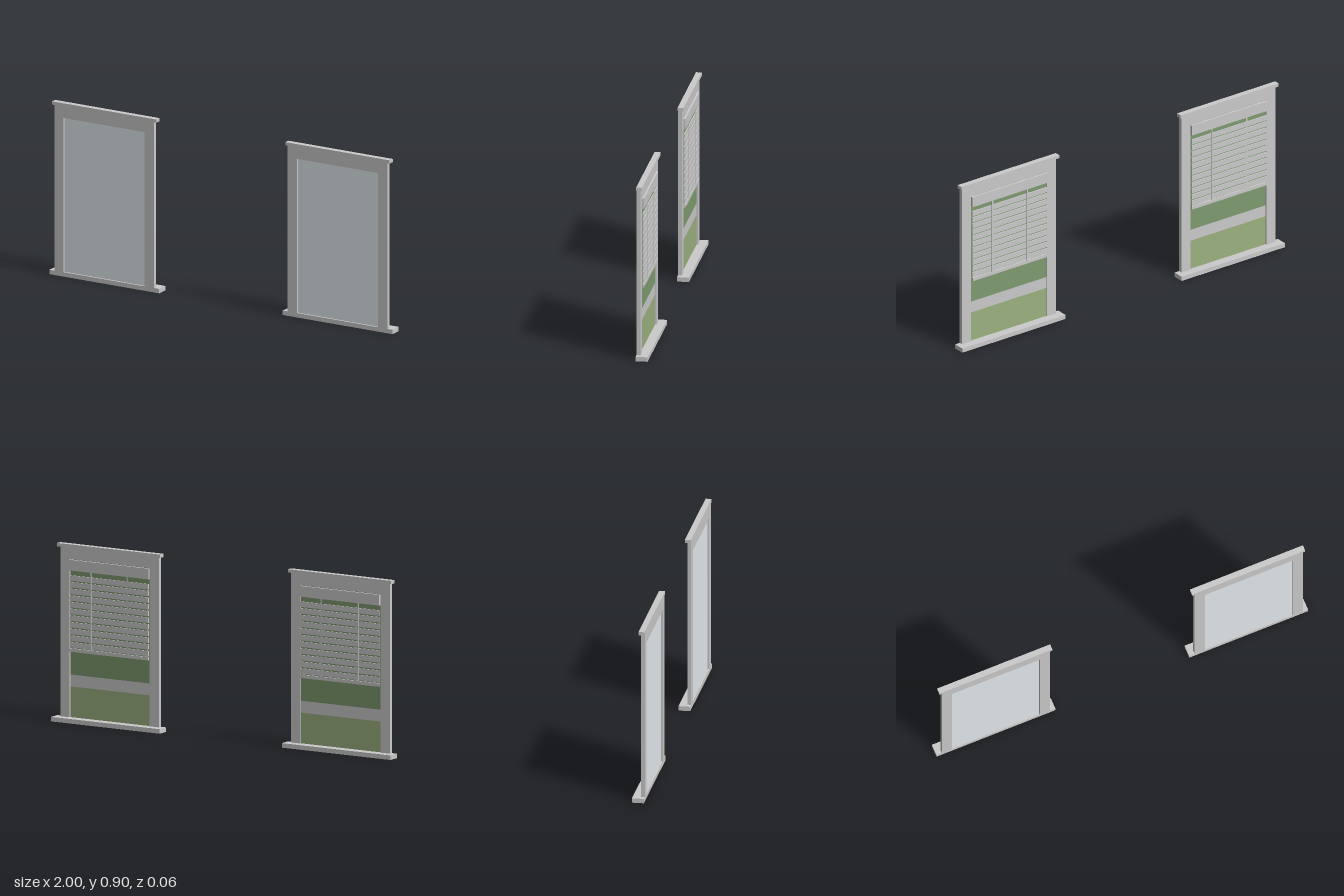
import * as THREE from 'three';

const mat = (color) => new THREE.MeshStandardMaterial({ color });
const grey = mat(0xcccccc);
const paneBlue = mat(0xe4ecf0);
const hedgeGreen = mat(0x7f9c70);
const pathGrey = mat(0xe6e6e6);
const lawnGreen = mat(0x9cb280);

// Box given by its lower and upper limits on each axis
function addBox(parent, name, [x0, x1], [y0, y1], [z0, z1], material = grey) {
  const mesh = new THREE.Mesh(new THREE.BoxGeometry(x1 - x0, y1 - y0, z1 - z0), material);
  mesh.name = name;
  mesh.position.set((x0 + x1) / 2, (y0 + y1) / 2, (z0 + z1) / 2);
  parent.add(mesh);
  return mesh;
}

const INNER = 0.236, OUTER = 0.291;   // half widths of the opening and the frame
const SILL = 0.023, HEAD = 0.822, TOP = 0.881;

function createFrame() {
  const frame = new THREE.Group();
  frame.name = 'frame';
  addBox(frame, 'sill', [-0.32, 0.32], [0, SILL], [-0.03, 0.03]);
  addBox(frame, 'cap', [-0.304, 0.304], [TOP, 0.898], [0, 0.03]);

  // Jambs and head in one piece
  const shape = new THREE.Shape([
    [-OUTER, SILL], [-INNER, SILL], [-INNER, HEAD], [INNER, HEAD],
    [INNER, SILL], [OUTER, SILL], [OUTER, TOP], [-OUTER, TOP],
  ].map(([x, y]) => new THREE.Vector2(x, y)));
  const surround = new THREE.Mesh(
    new THREE.ExtrudeGeometry(shape, { depth: 0.02, bevelEnabled: false }), grey);
  surround.name = 'surround';
  surround.position.z = 0.01;
  frame.add(surround);
  return frame;
}

// Pale pane outside, flat garden bands on its inner side
function createGlazing() {
  const glazing = new THREE.Group();
  glazing.name = 'glazing';
  const w = [-INNER, INNER], z = [0.017, 0.019];
  addBox(glazing, 'pane', w, [SILL, HEAD], [0.019, 0.021], paneBlue);
  addBox(glazing, 'lawn', w, [SILL, 0.178], z, lawnGreen);
  addBox(glazing, 'path', w, [0.178, 0.238], z, pathGrey);
  addBox(glazing, 'hedge', w, [0.238, HEAD], z, hedgeGreen);
  return glazing;
}

function createBlind() {
  const blind = new THREE.Group();
  blind.name = 'blind';
  addBox(blind, 'headRail', [-0.234, 0.234], [0.766, 0.82], [0.001, 0.012]);

  // Half-raised slats
  const pitch = 0.0337;
  for (let i = 0; i < 11; i++) {
    const top = 0.741 - i * pitch;
    addBox(blind, 'slat', [-0.231, 0.231], [top - 0.027, top], [0.004, 0.009]);
  }
  addBox(blind, 'bottomRail', [-0.231, 0.231], [0.356, 0.373], [0.002, 0.01]);

  // Ladder tapes
  for (const x of [-0.108, 0.108]) {
    addBox(blind, 'tape', [x - 0.004, x + 0.004], [0.373, 0.766], [0.002, 0.004]);
  }
  return blind;
}

export function createModel() {
  const model = new THREE.Group();
  model.name = 'windowPair';
  for (const side of [-1, 1]) {
    const unit = new THREE.Group();
    unit.name = side > 0 ? 'leftWindow' : 'rightWindow';
    unit.add(createFrame(), createGlazing(), createBlind());
    unit.position.x = side * 0.68;
    model.add(unit);
  }
  return model;
}
